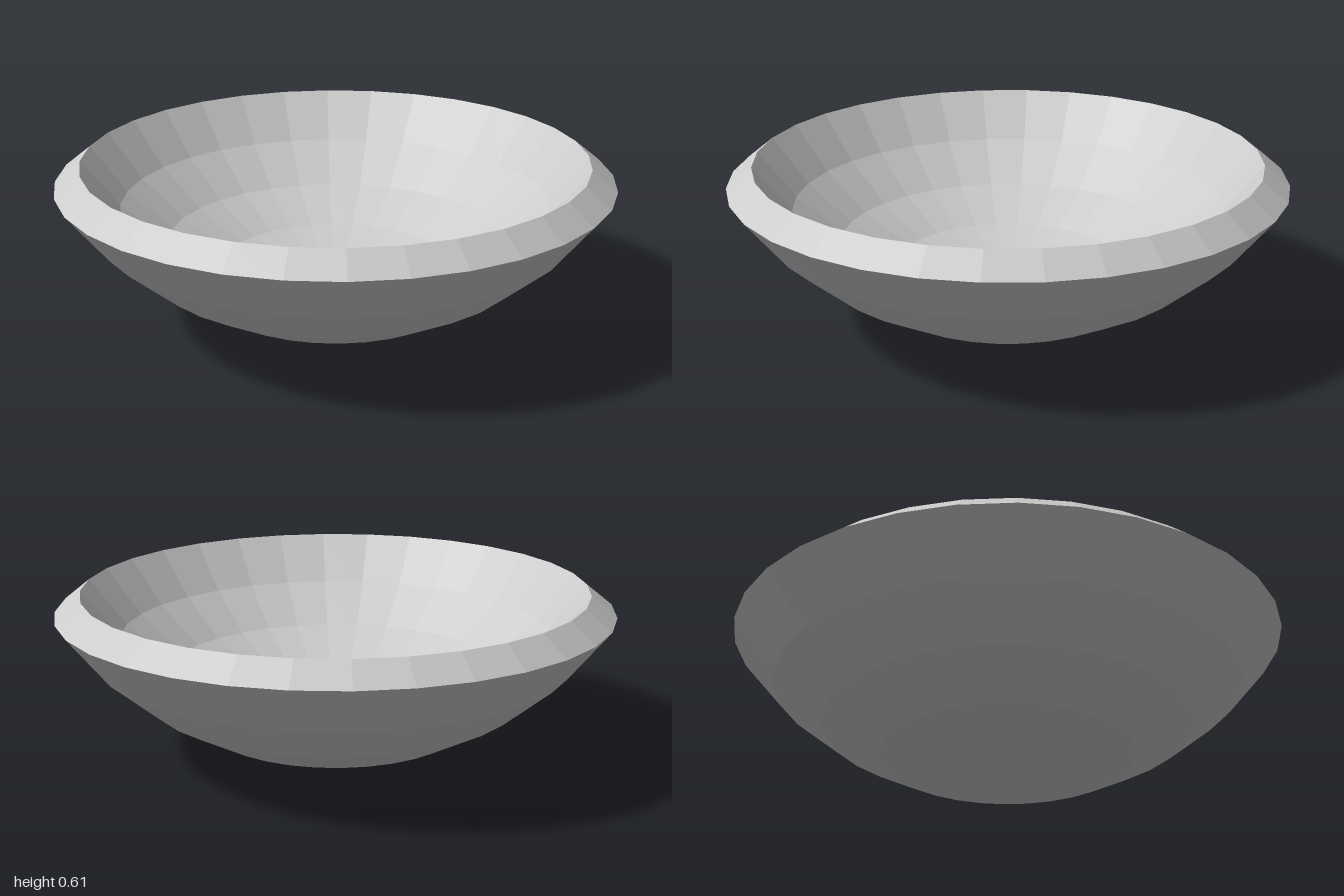
import * as THREE from 'three';

const SIDES = 32;   // facets around the bowl
const RINGS = 5;    // rings from the pole to the lip
const STEP = Math.PI / 16;

// Arc of a sphere cap from its pole up to the lip, faceted in equal angles
function capProfile(lipRadius, lipHeight) {
  const end = RINGS * STEP;
  const r = lipRadius / Math.sin(end);
  const centre = lipHeight + r * Math.cos(end);
  return Array.from({ length: RINGS + 1 }, (_, i) =>
    new THREE.Vector2(r * Math.sin(i * STEP), centre - r * Math.cos(i * STEP)));
}

export function createModel() {
  const group = new THREE.Group();
  group.name = 'bowl';
  const material = new THREE.MeshStandardMaterial({ color: 0xcccccc, flatShading: true });

  const addLathe = (name, points) => {
    const mesh = new THREE.Mesh(new THREE.LatheGeometry(points, SIDES), material);
    mesh.name = name;
    group.add(mesh);
  };

  const outer = capProfile(1, 0.535);
  const inner = capProfile(0.908, 0.61);

  // Outside wall, from the bottom pole up to the widest edge
  addLathe('outerShell', outer);
  // Sloping rim that joins the outside to the higher inside lip
  addLathe('rim', [outer[RINGS], inner[RINGS]]);
  // Inside wall, run downwards so that it faces the hollow
  addLathe('innerShell', inner.slice().reverse());

  return group;
}
